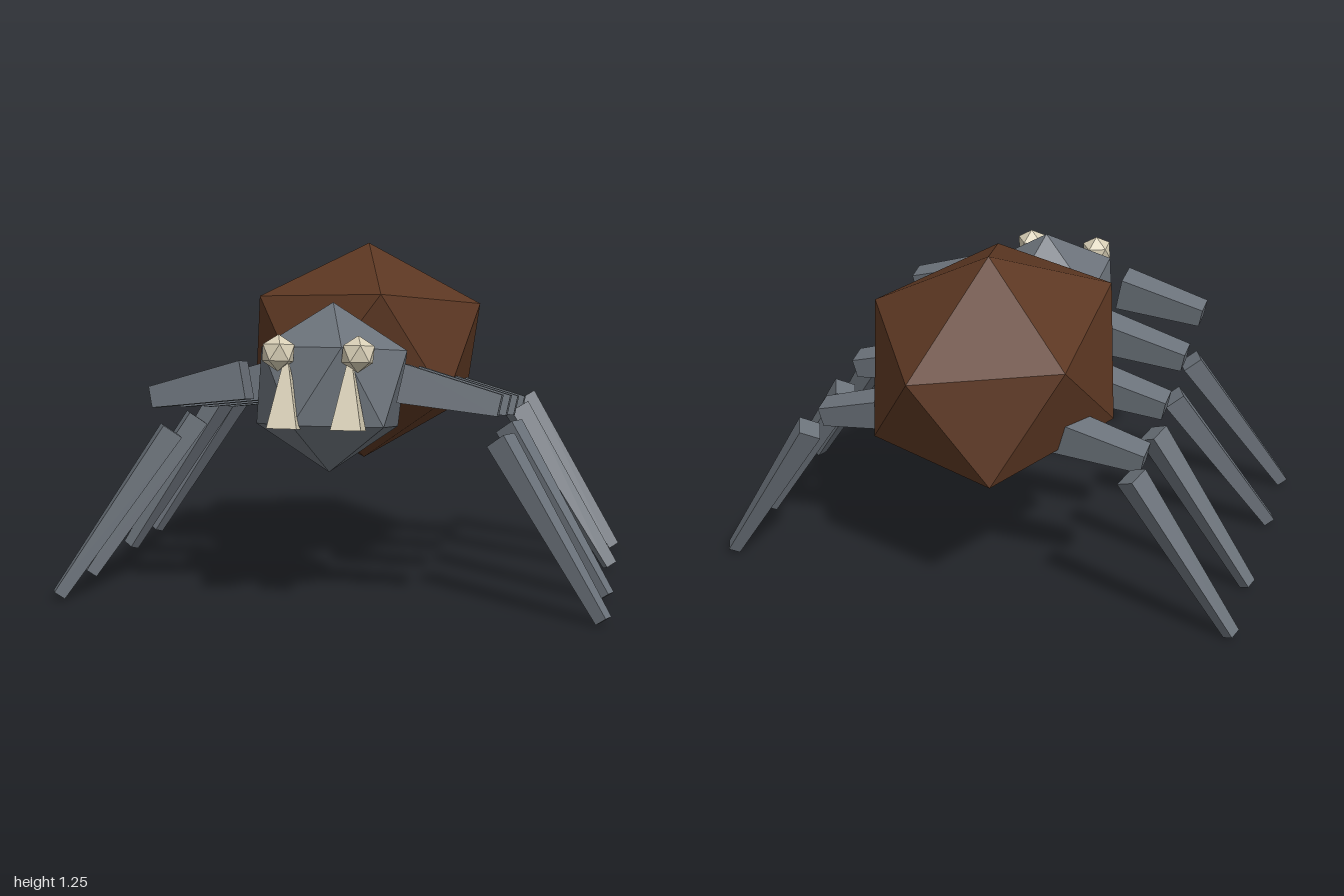
import * as THREE from 'three';
import { ConvexGeometry } from 'three/addons/geometries/ConvexGeometry.js';

const V = (x, y, z) => new THREE.Vector3(x, y, z);

function material(name, color) {
  const m = new THREE.MeshStandardMaterial({ color });
  m.name = name;
  return m;
}

// Twenty-sided ball standing on a corner, with one upper-ring corner at +x
function ballGeometry(rx, ry, rz) {
  const points = [V(0, ry, 0), V(0, -ry, 0)];
  const ring = 2 / Math.sqrt(5), height = 1 / Math.sqrt(5);
  for (let i = 0; i < 10; i++) {
    const a = (i * Math.PI) / 5;
    const side = i % 2 ? -1 : 1;
    points.push(V(Math.cos(a) * ring * rx, side * height * ry, Math.sin(a) * ring * rz));
  }
  return new ConvexGeometry(points);
}

// Tapered box from a to b; each size is [sideways, thickness]
function taperGeometry(a, b, sizeA, sizeB, roll = 0) {
  const dir = b.clone().sub(a).normalize();
  const u = V(0, 1, 0).cross(dir).normalize().applyAxisAngle(dir, roll);
  const v = u.clone().cross(dir);
  const geometry = new THREE.BoxGeometry(1, 1, 1);
  const pos = geometry.attributes.position;
  for (let i = 0; i < pos.count; i++) {
    const t = pos.getY(i) + 0.5;
    const p = a.clone().lerp(b, t)
      .addScaledVector(u, pos.getX(i) * THREE.MathUtils.lerp(sizeA[0], sizeB[0], t))
      .addScaledVector(v, pos.getZ(i) * THREE.MathUtils.lerp(sizeA[1], sizeB[1], t));
    pos.setXYZ(i, p.x, p.y, p.z);
  }
  geometry.computeVertexNormals();
  return geometry;
}

export function createModel() {
  const model = new THREE.Group();
  model.name = 'spider';
  const brown = material('abdomen brown', 0x5c3722);
  const grey = material('body grey', 0x6b727a);
  const cream = material('bone cream', 0xd8cfb6);
  [brown, grey, cream].forEach((m) => { m.flatShading = true; });

  const add = (name, geometry, mat) => {
    const mesh = new THREE.Mesh(geometry, mat);
    mesh.name = name;
    model.add(mesh);
    return mesh;
  };

  // Body, pitched so the front sits higher
  const tilt = 0.13;
  const abdomen = add('abdomen', ballGeometry(0.5, 0.424, 0.6), brown);
  abdomen.position.set(0, 0.835, -0.245);
  abdomen.rotation.x = -tilt;
  const head = add('head', ballGeometry(0.3, 0.3, 0.3), grey);
  head.position.set(0, 0.775, 0.468);
  head.rotation.x = -tilt;

  // Legs, front to back: thigh z, shin top z, shin foot z, shin top y, shin roll
  const legs = [
    [0.595, 0.44, 0.625, 0.6, 0.05],
    [0.26, 0.105, 0.29, 0.6, 0.05],
    [-0.07, -0.238, -0.19, 0.62, 0.6],
    [-0.405, -0.57, -0.525, 0.62, 0.6],
  ];
  for (const s of [1, -1]) {
    const side = s > 0 ? 'left' : 'right';
    legs.forEach(([z, topZ, footZ, topY, roll], i) => {
      const drop = i * 0.045;
      add(`${side}Thigh${i + 1}`, taperGeometry(
        V(s * 0.275, 0.81 - drop, z), V(s * 0.61, 0.742 - drop, z),
        [0.115, 0.135], [0.09, 0.075], -s * tilt), grey);
      add(`${side}Shin${i + 1}`, taperGeometry(
        V(s * 0.598, topY, topZ), V(s * 0.972, 0.018, footZ),
        [0.08, 0.08], [0.045, 0.045], -s * roll), grey);
    });

    // Face
    const eye = add(`${side}Eye`, ballGeometry(0.063, 0.063, 0.063), cream);
    eye.position.set(s * 0.138, 0.918, 0.695);
    eye.rotation.x = -tilt;
    add(`${side}Fang`, taperGeometry(
      V(s * 0.11, 0.88, 0.695), V(s * 0.11, 0.662, 0.728),
      [0.02, 0.02], [0.105, 0.1]), cream);
  }
  return model;
}
